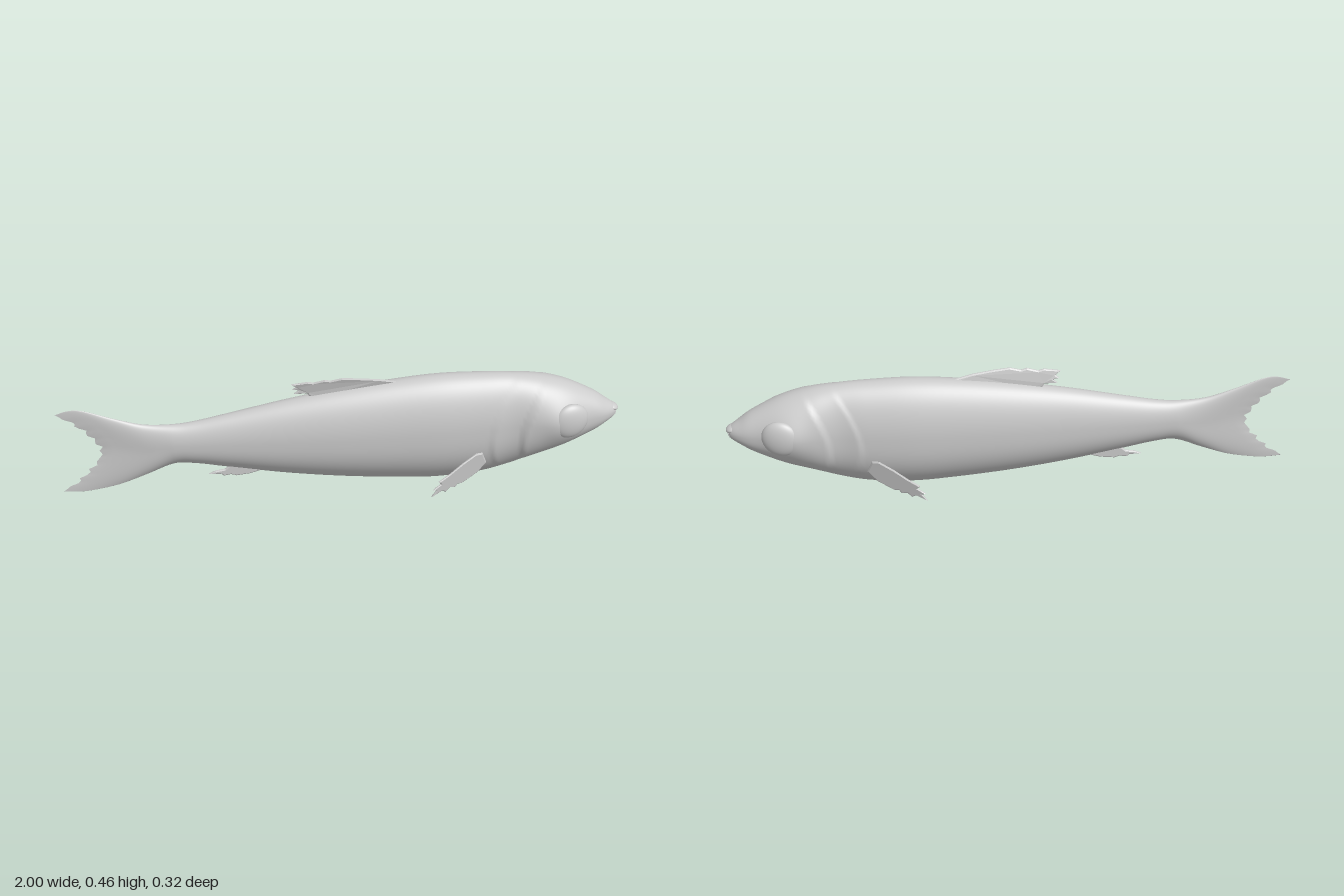
import * as THREE from 'three';

const material = new THREE.MeshStandardMaterial({ color: 0xcccccc, side: THREE.DoubleSide });

// Body stations from snout to tail: x, belly height, back height, half width
const stations = [
  [0.99, 0.25, 0.255, 0], [0.985, 0.228, 0.275, 0.022], [0.95, 0.2, 0.302, 0.048],
  [0.9, 0.163, 0.337, 0.068], [0.8, 0.11, 0.387, 0.092], [0.7, 0.073, 0.416, 0.1],
  [0.6, 0.038, 0.43, 0.09], [0.5, 0.014, 0.436, 0.096], [0.35, 0.002, 0.438, 0.101],
  [0.2, 0.01, 0.427, 0.097], [0, 0.03, 0.402, 0.087], [-0.2, 0.06, 0.368, 0.071],
  [-0.4, 0.1, 0.326, 0.053], [-0.52, 0.125, 0.302, 0.042], [-0.6, 0.13, 0.295, 0.035],
  [-0.7, 0.09, 0.303, 0.026], [-0.8, 0.053, 0.335, 0.017], [-0.9, 0.034, 0.373, 0.009],
  [-0.95, 0.032, 0.378, 0.005], [-1, 0.036, 0.364, 0],
];

const TAIL_START = -0.6;

// Forked, ragged trailing edge of the tail, v = 0 at the bottom and 1 at the top
function tailEdge(v) {
  const fork = 1 - Math.pow(Math.abs(2 * v - 1), 1.5);
  const jag = Math.abs(((v * 9) % 1) - 0.5) * 0.05 * Math.min(1, fork * 3);
  return -1 + 0.15 * fork + jag - 0.012 * fork;
}

// Raised relief of the eye socket and gill covers
function headRelief(x, y) {
  const socket = 0.02 * Math.exp(-(((x - 0.77) / 0.07) ** 2) - ((y - 0.27) / 0.08) ** 2);
  const flap = (edge, height) => {
    const d = x - edge - 1.8 * (y - 0.2) ** 2;
    return d > 0 ? height * Math.min(1, d / 0.015) * Math.exp(-d / 0.06) : 0;
  };
  return socket + flap(0.52, 0.007) + flap(0.63, 0.011);
}

function bodyGeometry() {
  const channel = (k) => new THREE.CatmullRomCurve3(
    stations.map((s) => new THREE.Vector3(s[0], s[k], 0)), false, 'catmullrom', 0.5);
  const [belly, back, width] = [1, 2, 3].map(channel);
  const rings = 190, sides = 72, positions = [], index = [];
  for (let i = 0; i <= rings; i++) {
    const t = i / rings;
    const { x: sx, y: low } = belly.getPoint(t);
    const high = back.getPoint(t).y;
    const w = Math.max(0, width.getPoint(t).y);
    const mid = low + 0.56 * (high - low);
    for (let j = 0; j < sides; j++) {
      const a = (j / sides) * Math.PI * 2, c = Math.cos(a);
      // Round back, keeled belly
      const y = c > 0 ? mid + c * (high - mid) : mid + c * (mid - low);
      let side = c > 0 ? Math.abs(Math.sin(a)) : 1 - Math.pow(-c, 2.7);
      side = Math.max(0, side);
      let x = sx;
      if (sx < TAIL_START) {
        const s = (TAIL_START - sx) / (1 + TAIL_START);
        const v = (y - low) / (high - low);
        const jagged = tailEdge(v), smooth = -1 + 0.15 * (1 - Math.pow(Math.abs(2 * v - 1), 1.5));
        x = TAIL_START + s * (smooth - TAIL_START) + Math.pow(s, 12) * (jagged - smooth);
      }
      const relief = x > 0.4 ? headRelief(x, y) * side : 0;
      positions.push(x, y, Math.sign(Math.sin(a)) * (w * side + relief * Math.min(1, w / 0.05)));
    }
  }
  for (let i = 0; i < rings; i++) {
    for (let j = 0; j < sides; j++) {
      const k = (j + 1) % sides;
      const a = i * sides + j, b = a + sides, c = i * sides + k, d = c + sides;
      index.push(a, b, c, c, b, d);
    }
  }
  const g = new THREE.BufferGeometry();
  g.setAttribute('position', new THREE.Float32BufferAttribute(positions, 3));
  g.setIndex(index);
  g.computeVertexNormals();
  return g;
}

// Thin fin cut from an outline in x and y, then moved sideways by a rule
function finGeometry(outline, sideways) {
  const shape = new THREE.Shape(outline.map(([x, y]) => new THREE.Vector2(x, y)));
  const g = new THREE.ExtrudeGeometry(shape, {
    depth: 0.004, bevelEnabled: true, bevelSegments: 1,
    bevelThickness: 0.003, bevelSize: 0.004, bevelOffset: -0.004,
  });
  const p = g.attributes.position;
  for (let i = 0; i < p.count; i++) {
    p.setZ(i, p.getZ(i) - 0.002 + sideways(p.getX(i), p.getY(i)));
  }
  g.computeVertexNormals();
  return g;
}

export function createModel() {
  const model = new THREE.Group();
  model.name = 'fish';
  const add = (name, geometry) => {
    const mesh = new THREE.Mesh(geometry, material);
    mesh.name = name;
    model.add(mesh);
    return mesh;
  };

  add('bodyAndTail', bodyGeometry());

  // Lips
  const lip = (name, x, y, tilt, length) => {
    const m = add(name, new THREE.SphereGeometry(1, 24, 16));
    m.scale.set(length, 0.012, 0.026);
    m.position.set(x, y, 0);
    m.rotation.z = tilt;
  };
  lip('upperLip', 0.976, 0.269, -0.35, 0.025);
  lip('lowerLip', 0.972, 0.239, 0.5, 0.025);

  // Fins on the centre line
  add('dorsalFin', finGeometry([
    [0.2, 0.41], [0.19, 0.427], [0.13, 0.441], [0.06, 0.451], [0, 0.457], [-0.04, 0.448],
    [-0.06, 0.453], [-0.1, 0.443], [-0.12, 0.448], [-0.178, 0.44], [-0.16, 0.425],
    [-0.172, 0.415], [-0.15, 0.41], [-0.168, 0.396], [-0.12, 0.395], [-0.115, 0.384],
    [-0.07, 0.375], [0, 0.38],
  ], (x, y) => 0.3 * Math.max(0, y - 0.41)));
  add('analFin', finGeometry([
    [-0.26, 0.1], [-0.28, 0.083], [-0.33, 0.068], [-0.38, 0.062], [-0.4, 0.069],
    [-0.425, 0.064], [-0.435, 0.073], [-0.478, 0.075], [-0.455, 0.086], [-0.42, 0.092],
    [-0.4, 0.11], [-0.34, 0.13],
  ], () => 0));

  // Paired eyes and pectoral fins
  const pectoralOutline = [
    [0.47, 0.165], [0.495, 0.16], [0.513, 0.11], [0.48, 0.075], [0.42, 0.047], [0.405, 0.052],
    [0.395, 0.038], [0.375, 0.046], [0.36, 0.03], [0.345, 0.042], [0.305, 0.027],
    [0.325, 0.052], [0.31, 0.057], [0.34, 0.075], [0.33, 0.088], [0.37, 0.108], [0.42, 0.14],
  ];
  for (const [label, s] of [['left', 1], ['right', -1]]) {
    const eye = add(label + 'Eye', new THREE.SphereGeometry(1, 40, 28));
    eye.scale.set(0.068, 0.068, 0.03);
    eye.position.set(0.805, 0.272, s * 0.088);
    eye.rotation.y = s * 0.2;
    add(label + 'PectoralFin', finGeometry(pectoralOutline,
      (x, y) => s * (0.1 - 0.42 * (x - 0.48) + 0.116 * (y - 0.16))));
  }
  return model;
}
